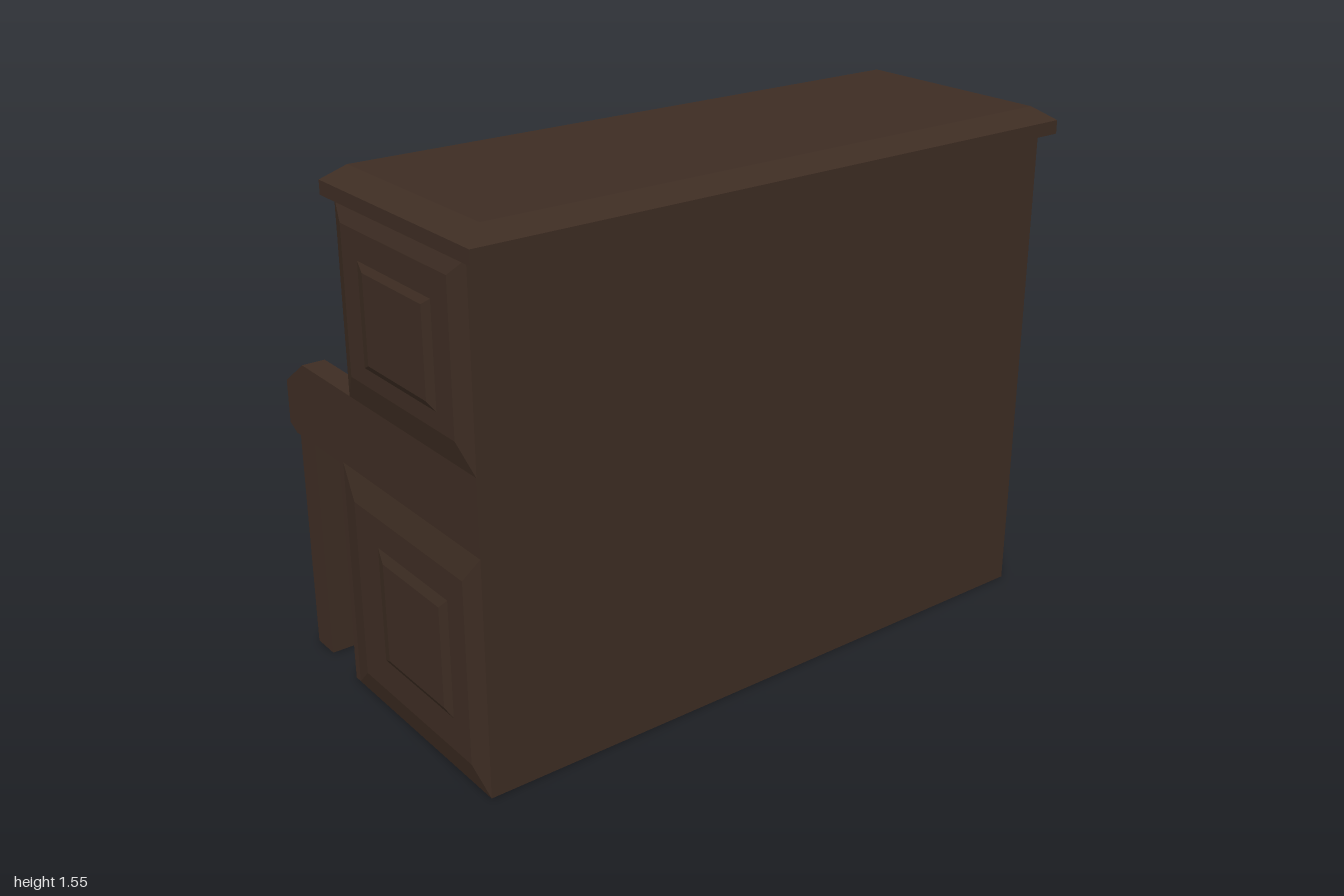
import * as THREE from 'three';

const wood = new THREE.MeshStandardMaterial({ color: 0x3e2d23, side: THREE.DoubleSide });
wood.name = 'dark wood';
const panelWood = new THREE.MeshStandardMaterial({ color: 0x392920 });
panelWood.name = 'panel wood';
const ivory = new THREE.MeshStandardMaterial({ color: 0x74756d });
ivory.name = 'ivory';

function add(parent, name, geometry, material = wood) {
  const mesh = new THREE.Mesh(geometry, material);
  mesh.name = name;
  parent.add(mesh);
  return mesh;
}

// Box given by its extents on each axis
function box(parent, name, [x0, x1], [y0, y1], [z0, z1], material = wood) {
  const g = new THREE.BoxGeometry(x1 - x0, y1 - y0, z1 - z0);
  g.translate((x0 + x1) / 2, (y0 + y1) / 2, (z0 + z1) / 2);
  return add(parent, name, g, material);
}

// Stack of rectangles [x0, x1, y0, y1, z] joined by sloping sides and capped
function loft(rings) {
  const corners = rings.map(([a, b, c, d, z]) => [[a, c, z], [b, c, z], [b, d, z], [a, d, z]]);
  const pos = [];
  const quad = (p, q, r, s) => pos.push(...p, ...q, ...r, ...p, ...r, ...s);
  for (let i = 0; i < corners.length - 1; i++) {
    for (let k = 0; k < 4; k++) {
      const n = (k + 1) % 4;
      quad(corners[i][k], corners[i][n], corners[i + 1][n], corners[i + 1][k]);
    }
  }
  quad(...corners[corners.length - 1]);
  quad(...corners[0].slice().reverse());
  const g = new THREE.BufferGeometry();
  g.setAttribute('position', new THREE.Float32BufferAttribute(pos, 3));
  g.computeVertexNormals();
  return g;
}

// Outline in x and y, extruded from z0 to z1
function slab(points, z0, z1) {
  const shape = new THREE.Shape(points.map(([x, y]) => new THREE.Vector2(x, y)));
  const g = new THREE.ExtrudeGeometry(shape, { depth: z1 - z0, bevelEnabled: false });
  return g.translate(0, 0, z0);
}

// Picture-frame moulding on the keyboard side
function frame(parent, name, [x0, x1], [y0, y1], [z0, z1], w) {
  box(parent, name, [x0, x1], [y0, y0 + w], [z0, z1]);
  box(parent, name, [x0, x1], [y1 - w, y1], [z0, z1]);
  box(parent, name, [x0, x1], [y0 + w, y1 - w], [z0, z0 + w]);
  box(parent, name, [x0, x1], [y0 + w, y1 - w], [z1 - w, z1]);
}

export function createModel() {
  const piano = new THREE.Group();
  piano.name = 'uprightPiano';

  // Lid with chamfered top edge
  add(piano, 'lid', loft([
    [-0.19, 0.54, -0.99, 0.99, 1.47],
    [-0.19, 0.54, -0.99, 0.99, 1.51],
    [-0.145, 0.49, -0.93, 0.93, 1.55],
  ]).rotateX(-Math.PI / 2));

  // Hollow case, open underneath
  box(piano, 'back', [0.48, 0.49], [0, 1.47], [-0.97, 0.97]);
  box(piano, 'lowerFront', [-0.15, -0.13], [0, 0.75], [-0.9, 0.9], panelWood);
  box(piano, 'upperFront', [-0.11, -0.09], [0.85, 1.47], [-0.9, 0.9], panelWood);
  frame(piano, 'lowerFrontFrame', [-0.165, -0.15], [0, 0.69], [-0.88, 0.88], 0.09);

  // Sides with arms, legs and raised panels
  const armOutline = [[-0.15, 0.92], [-0.43, 0.92], [-0.54, 0.84], [-0.54, 0.71], [-0.5, 0.69], [-0.15, 0.69]];
  const sidePanels = {
    upperSidePanel: [
      [-0.15, 0.49, 0.92, 1.47, 0.97], [-0.09, 0.43, 1.0, 1.42, 0.99],
      [-0.01, 0.35, 1.05, 1.34, 0.99], [0.03, 0.32, 1.07, 1.32, 1.0],
    ],
    lowerSidePanel: [
      [-0.22, 0.49, 0, 0.7, 0.97], [-0.13, 0.43, 0.08, 0.62, 0.99],
      [-0.01, 0.35, 0.18, 0.53, 0.99], [0.03, 0.32, 0.2, 0.5, 1.0],
    ],
  };
  for (const s of [1, -1]) {
    const side = new THREE.Group();
    side.name = s > 0 ? 'leftSide' : 'rightSide';
    piano.add(side);
    const span = (a, b) => (s > 0 ? [a, b] : [-b, -a]);
    box(side, 'sideWall', [-0.15, 0.49], [0, 1.47], span(0.955, 0.97));
    box(side, 'upperPost', [-0.15, -0.09], [0.9, 1.47], span(0.87, 0.97));
    box(side, 'lowerPost', [-0.245, -0.13], [0, 0.69], span(0.88, 0.97));
    box(side, 'leg', [-0.5, -0.41], [0, 0.7], span(0.88, 0.96));
    add(side, 'arm', slab(armOutline, ...span(0.9, 0.97)));
    for (const [name, rings] of Object.entries(sidePanels)) {
      const g = s > 0 ? loft(rings)
        : loft(rings.map(([a, b, c, d, z]) => [-b, -a, c, d, z])).rotateY(Math.PI);
      add(side, name, g);
    }
    // Recessed fields either side of the centre stile
    frame(side, 'upperFrontFrame', [-0.122, -0.11], [0.92, 1.47], span(0.05, 0.87), 0.07);
  }

  // Centre stile with a tapering bracket
  box(piano, 'centreStile', [-0.14, -0.1], [0.92, 1.47], [-0.05, 0.05]);
  const bracket = new THREE.CylinderGeometry(0.06, 0.01, 0.25, 8);
  bracket.scale(0.5, 1, 1).translate(-0.14, 1.345, 0);
  add(piano, 'bracket', bracket);

  // Key bed with stepped front lip
  add(piano, 'keyBed', slab([
    [-0.13, 0.69], [-0.13, 0.92], [-0.2, 0.92], [-0.2, 0.875], [-0.39, 0.845], [-0.43, 0.84],
    [-0.445, 0.785], [-0.53, 0.785], [-0.54, 0.77], [-0.54, 0.71], [-0.5, 0.69],
  ], -0.9, 0.9));

  // Sloping keyboard
  const keyboard = new THREE.Group();
  keyboard.name = 'keyboard';
  keyboard.position.set(-0.295, 0.862, 0);
  keyboard.rotation.z = Math.atan2(0.03, 0.19);
  piano.add(keyboard);
  box(keyboard, 'whiteKeys', [-0.097, 0.097], [0, 0.008], [-0.89, 0.89], ivory);
  const blackKeys = [-0.84, -0.75, -0.61, -0.52, -0.38, -0.29, -0.2, -0.07,
    0.06, 0.19, 0.28, 0.37, 0.51, 0.6, 0.74, 0.83];
  for (const z of blackKeys) {
    box(keyboard, 'blackKey', [-0.045, 0.085], [0.006, 0.012], [z - 0.022, z + 0.022]);
  }
  return piano;
}
